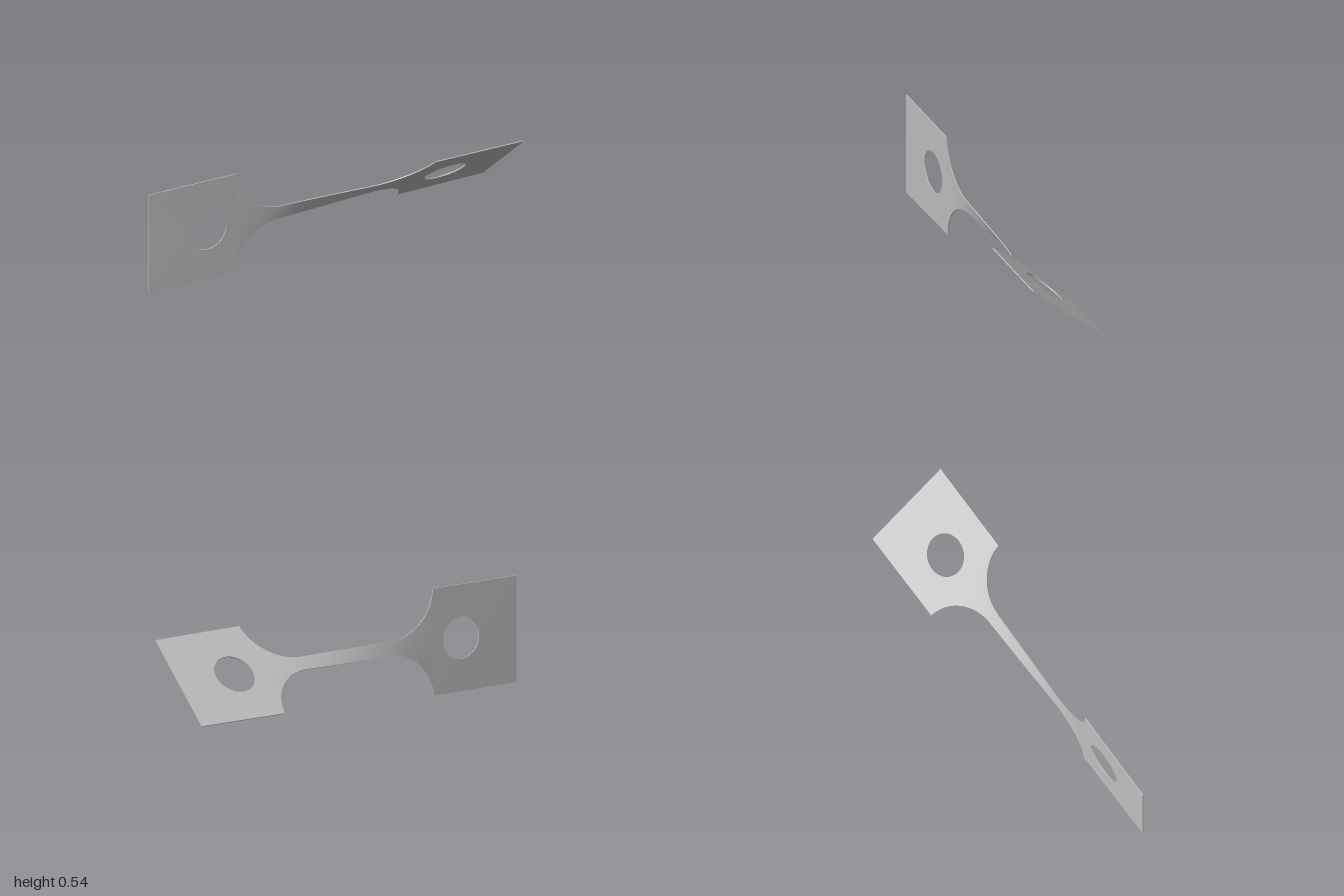
import * as THREE from 'three';

const HALF_H = 0.271;      // half height of the end plates
const NECK = 0.036;        // half height of the neck
const FILLET = 0.25;       // radius of the shoulder arcs
const NECK_END = 0.257;    // where the shoulder arcs begin
const INNER = NECK_END + Math.sqrt(FILLET ** 2 - (FILLET + NECK - HALF_H) ** 2);
const THICK = 0.005;
const TAB_TWIST = 0.8;     // degrees of twist within each end plate
const TOTAL_TWIST = 49.5;  // degrees from end to end

// Half height of the strip between the two end plates
function halfHeight(x) {
  const d = Math.max(0, Math.abs(x) - NECK_END);
  return NECK + FILLET - Math.sqrt(Math.max(0, FILLET ** 2 - d * d));
}

// A torsion strip turns fastest where it is narrowest
function compliance(x) {
  const n = 200, dx = x / n;
  let sum = 0;
  for (let i = 0; i < n; i++) sum += dx / halfHeight((i + 0.5) * dx);
  return sum;
}
const END_COMPLIANCE = compliance(INNER);

function twistAngle(x) {
  const mid = TOTAL_TWIST / 2, bridge = mid - TAB_TWIST;
  const a = Math.abs(x);
  const turn = a < INNER
    ? bridge * compliance(a) / END_COMPLIANCE
    : bridge + TAB_TWIST * (a - INNER) / (1 - INNER);
  return THREE.MathUtils.degToRad(mid + Math.sign(x) * turn);
}

// Turn every vertex about the long axis and lift the strip onto the ground
function twist(geometry) {
  const p = geometry.attributes.position;
  for (let i = 0; i < p.count; i++) {
    const x = p.getX(i), y = p.getY(i), z = p.getZ(i);
    const a = twistAngle(x), c = Math.cos(a), s = Math.sin(a);
    p.setXYZ(i, x, HALF_H + y * c - z * s, y * s + z * c);
  }
  geometry.computeVertexNormals();
  return geometry;
}

// End plate with a round hole
function endPlate(side) {
  const x0 = side < 0 ? -1 : INNER, x1 = side < 0 ? -INNER : 1;
  const shape = new THREE.Shape();
  shape.moveTo(x0, -HALF_H);
  shape.lineTo(x1, -HALF_H);
  shape.lineTo(x1, HALF_H);
  shape.lineTo(x0, HALF_H);
  shape.closePath();
  const hole = new THREE.Path();
  hole.absarc(side * 0.67, 0, 0.108, 0, Math.PI * 2, true);
  shape.holes.push(hole);
  const geometry = new THREE.ExtrudeGeometry(shape, {
    depth: THICK, bevelEnabled: false, curveSegments: 32,
  });
  geometry.translate(0, 0, -THICK / 2);
  return twist(geometry);
}

// Narrow neck with flared shoulders; sections crowd towards the steep ends
function neck() {
  const geometry = new THREE.BoxGeometry(2, 2, THICK, 120, 8, 1);
  const p = geometry.attributes.position;
  for (let i = 0; i < p.count; i++) {
    const x = INNER * Math.sin(p.getX(i) * Math.PI / 2);
    p.setX(i, x);
    p.setY(i, p.getY(i) * halfHeight(x));
  }
  return twist(geometry);
}

export function createModel() {
  const group = new THREE.Group();
  group.name = 'twistedTestStrip';
  const metal = new THREE.MeshStandardMaterial({ color: 0xc0c0c0 });
  metal.name = 'light grey metal';

  const add = (name, geometry) => {
    const mesh = new THREE.Mesh(geometry, metal);
    mesh.name = name;
    group.add(mesh);
  };
  add('rightEndPlate', endPlate(-1));
  add('leftEndPlate', endPlate(1));
  add('twistedNeck', neck());
  return group;
}
